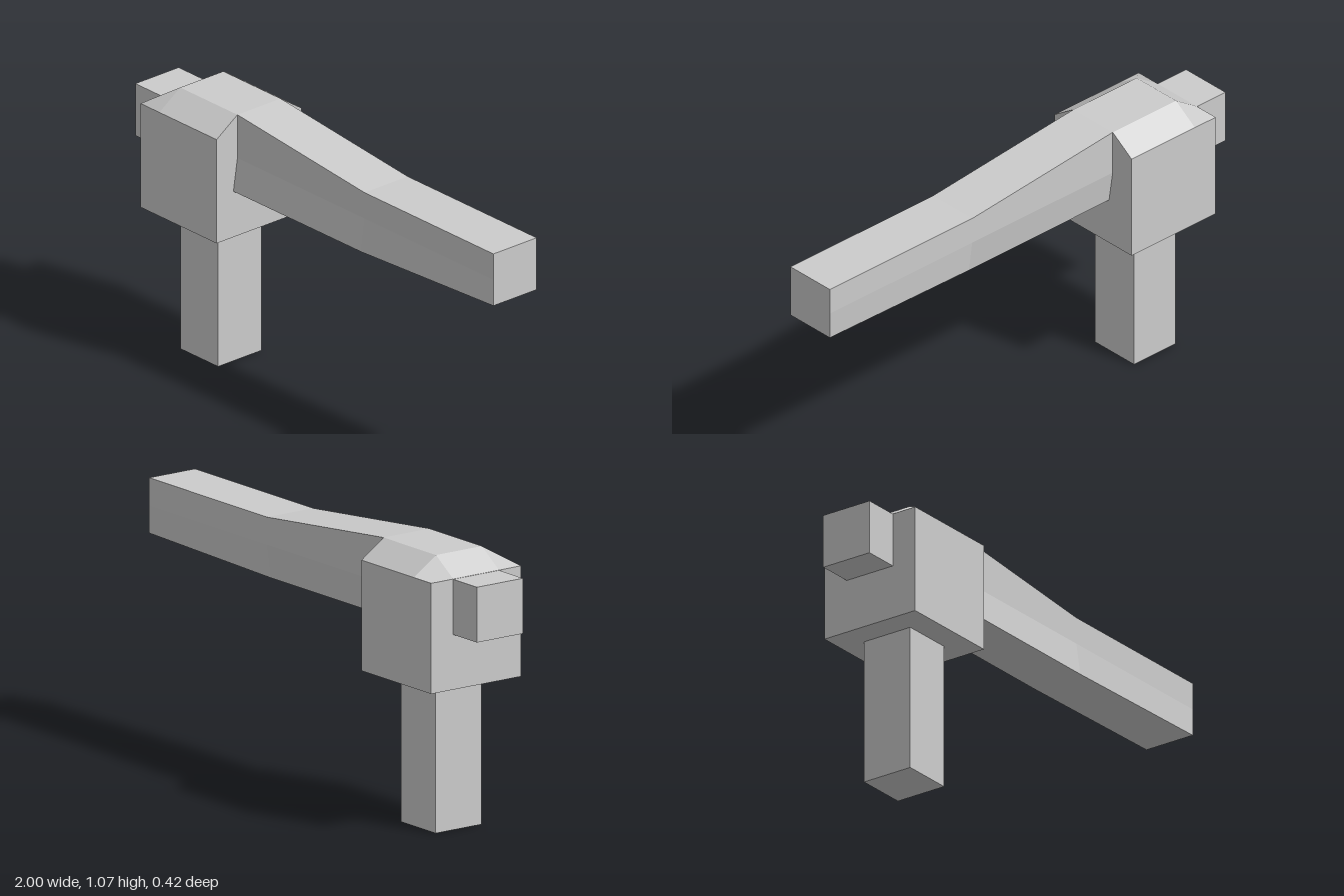
import * as THREE from 'three';

const R = 0.107; // half width of the post, pin and lever

// Solid through equal-length loops running along +x, closed at both ends.
// Every face gets one normal, so slightly twisted quads still look flat.
function loft(sections) {
  const pos = [], nor = [];
  const face = (pts) => {
    const v = pts.map((p) => new THREE.Vector3(...p));
    const normal = new THREE.Vector3();
    v.forEach((p, i) => normal.add(p.clone().cross(v[(i + 1) % v.length])));
    normal.normalize();
    for (let i = 1; i < v.length - 1; i++) {
      for (const p of [v[0], v[i], v[i + 1]]) {
        pos.push(p.x, p.y, p.z);
        nor.push(normal.x, normal.y, normal.z);
      }
    }
  };
  for (let s = 0; s < sections.length - 1; s++) {
    const a = sections[s], b = sections[s + 1];
    a.forEach((p, i) => {
      const j = (i + 1) % a.length;
      face([p, b[i], b[j], a[j]]);
    });
  }
  face(sections[0]);
  face([...sections[sections.length - 1]].reverse());

  const geo = new THREE.BufferGeometry();
  geo.setAttribute('position', new THREE.Float32BufferAttribute(pos, 3));
  geo.setAttribute('normal', new THREE.Float32BufferAttribute(nor, 3));
  return geo;
}

export function createModel() {
  const group = new THREE.Group();
  const grey = new THREE.MeshStandardMaterial({ color: 0xcccccc });
  grey.name = 'light grey';

  const add = (name, geo, x = 0, y = 0) => {
    const mesh = new THREE.Mesh(geo, grey);
    mesh.name = name;
    mesh.position.set(x, y, 0);
    group.add(mesh);
  };

  // Square post below the hub
  add('post', new THREE.BoxGeometry(0.21, 0.573, 2 * R), -0.643, 0.2865);

  // Short square pin at the far end
  add('pin', new THREE.BoxGeometry(0.145, 0.212, 2 * R), -0.9275, 0.89);

  // Hub block, its top sloped on three sides: x and height of the crown
  const crown = [[-0.855, 0.997], [-0.75, 1.067], [-0.43, 1.067]];
  add('hub', loft(crown.map(([x, top]) => [
    [x, top, R], [x, top, -R],
    [x, 0.997, -0.21], [x, 0.573, -0.21],
    [x, 0.573, 0.21], [x, 0.997, 0.21],
  ])));

  // Lever: x, top, bottom, and how far the lower edge leans forward
  const stations = [
    [-0.43, 1.067, 0.76, 0.02],
    [0.28, 0.996, 0.76, 0.018],
    [1, 0.996, 0.784, 0],
  ];
  add('lever', loft(stations.map(([x, top, bottom, lean]) => [
    [x, top, R], [x, top, -R],
    [x, 0.89, -R], [x, bottom, lean - R],
    [x, bottom, lean + R], [x, 0.89, R],
  ])));

  return group;
}
